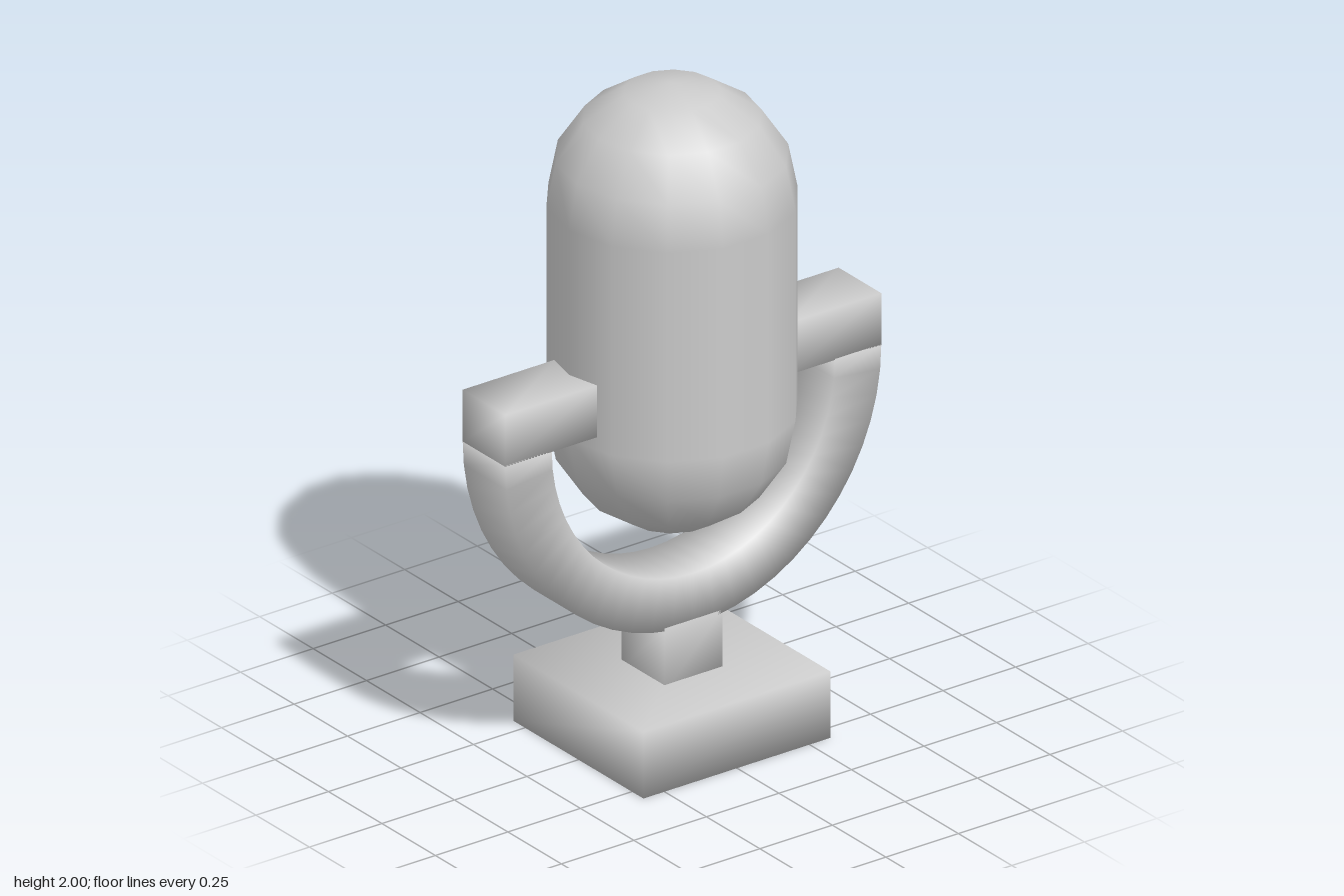
import * as THREE from 'three';
import { mergeVertices } from 'three/addons/utils/BufferGeometryUtils.js';

const material = new THREE.MeshStandardMaterial({ color: 0xcccccc });

// Weld all corners so shading flows smoothly across the edges
function weld(geometry) {
  geometry.deleteAttribute('normal');
  geometry.deleteAttribute('uv');
  const welded = mergeVertices(geometry, 1e-4);
  welded.computeVertexNormals();
  return welded;
}

function add(group, name, geometry, x, y, z) {
  const mesh = new THREE.Mesh(geometry, material);
  mesh.name = name;
  mesh.position.set(x, y, z);
  group.add(mesh);
  return mesh;
}

const softBox = (w, h, d) => weld(new THREE.BoxGeometry(w, h, d));

// Half ring of rectangular section, hanging below y = 0
function yokeGeometry(outerX, outerY, thickness, depth, steps) {
  const positions = [];
  const index = [];
  for (let i = 0; i <= steps; i++) {
    const a = Math.PI + (i / steps) * Math.PI;
    const c = Math.cos(a), s = Math.sin(a);
    for (const [inset, z] of [[0, -1], [0, 1], [thickness, 1], [thickness, -1]]) {
      positions.push(c * (outerX - inset), s * (outerY - inset), (z * depth) / 2);
    }
    if (i === steps) continue;
    for (let k = 0; k < 4; k++) {
      const p = i * 4 + k, q = i * 4 + ((k + 1) % 4);
      index.push(p, p + 4, q, q, p + 4, q + 4);
    }
  }
  // End caps
  const e = steps * 4;
  index.push(0, 1, 2, 0, 2, 3, e, e + 2, e + 1, e, e + 3, e + 2);
  const geometry = new THREE.BufferGeometry();
  geometry.setAttribute('position', new THREE.Float32BufferAttribute(positions, 3));
  geometry.setIndex(index);
  geometry.computeVertexNormals();
  return geometry;
}

export function createModel() {
  const model = new THREE.Group();
  model.name = 'microphone';

  // Stand
  add(model, 'base', softBox(0.645, 0.205, 0.608), 0, 0.1025, 0);
  add(model, 'stem', softBox(0.2, 0.2, 0.2), 0, 0.28, 0);

  // Cradle: curved yoke and the two arms that hold the head
  add(model, 'yoke', yokeGeometry(0.648, 0.68, 0.16, 0.2, 28), 0, 1.042, 0);
  for (const [name, side] of [['leftArm', 1], ['rightArm', -1]]) {
    add(model, name, softBox(0.32, 0.16, 0.2), side * 0.488, 1.119, 0);
  }

  // Capsule head
  add(model, 'head', new THREE.CapsuleGeometry(0.355, 0.645, 4, 14), 0, 1.3225, 0);
  return model;
}
